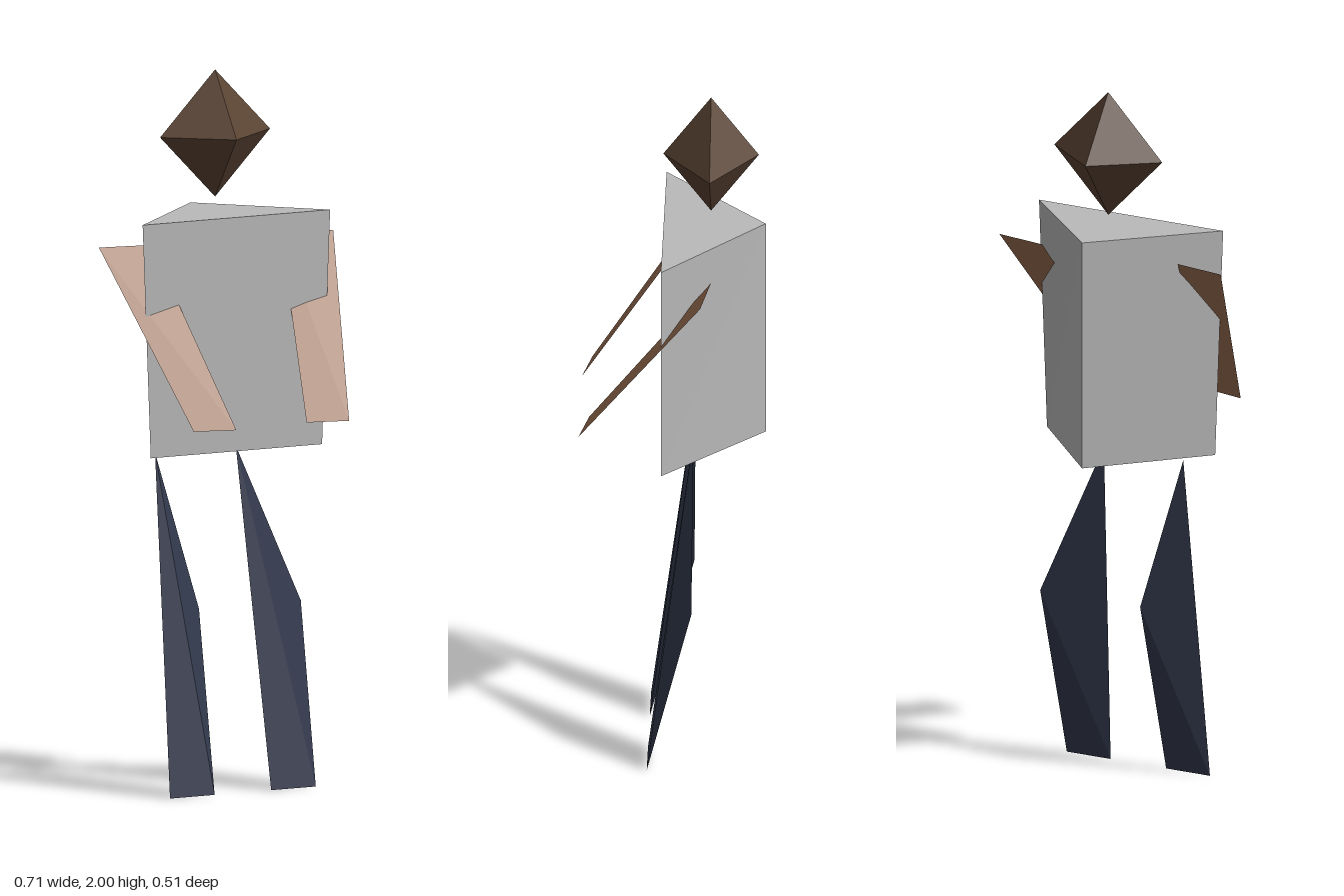
import * as THREE from 'three';

const flat = (color, name, side = THREE.FrontSide) => {
  const material = new THREE.MeshStandardMaterial({ color, flatShading: true, side });
  material.name = name;
  return material;
};

// Faceted mesh from a few corners and triangles that index them
function facets(name, corners, triangles, material) {
  const geometry = new THREE.BufferGeometry();
  const positions = triangles.flat().flatMap((i) => corners[i]);
  geometry.setAttribute('position', new THREE.Float32BufferAttribute(positions, 3));
  geometry.computeVertexNormals();
  const mesh = new THREE.Mesh(geometry, material);
  mesh.name = name;
  return mesh;
}

export function createModel() {
  const hair = flat(0x5a4332, 'dark brown');
  const shirt = flat(0xbababa, 'light grey');
  const skin = flat(0x9c7053, 'tan', THREE.DoubleSide);
  const trousers = flat(0x333a4e, 'navy');
  const model = new THREE.Group();
  model.name = 'figure';

  // Head: stretched octahedron floating over the torso
  const head = new THREE.Mesh(new THREE.OctahedronGeometry(1), hair);
  head.name = 'head';
  head.scale.set(0.17, 0.178, 0.132);
  head.position.set(0, 1.822, -0.106);
  model.add(head);

  // Torso: triangular prism, flat side forward, slightly narrower at the waist
  const ring = (halfWidth, y) => [[-halfWidth, y, 0.025], [halfWidth, y, 0.025], [0, y, -0.257]];
  model.add(facets('torso', [...ring(0.29, 1.605), ...ring(0.265, 0.95)], [
    [0, 1, 2], [3, 5, 4], // top and bottom
    [3, 4, 1], [3, 1, 0], // front
    [4, 5, 2], [4, 2, 1], // left side
    [5, 3, 0], [5, 0, 2], // right side
  ], shirt));

  // Arms: flat strips slanting forward; inner and outer edges differ per side
  const arm = (name, shoulder, hand) => facets(name, [
    [shoulder, 1.527, -0.111], [shoulder + 0.15, 1.527, -0.085],
    [hand + 0.118, 1.052, 0.255], [hand, 1.052, 0.228],
  ], [[0, 3, 2], [0, 2, 1]], skin);
  model.add(arm('leftArm', 0.205, 0.115), arm('rightArm', -0.357, -0.234));

  // Legs: slim tetrahedra with hip, knee and two toe corners
  const leg = (name, hip, knee, toe) => facets(name, [
    [hip, 0.95, -0.058], [knee, 0.502, -0.058],
    [toe, 0, 0.066], [toe + 0.138, 0, 0.066],
  ], [[0, 2, 3], [0, 3, 1], [0, 1, 2], [1, 3, 2]], trousers);
  model.add(leg('leftLeg', 0.04, 0.241, 0.087), leg('rightLeg', -0.21, -0.074, -0.226));

  return model;
}
